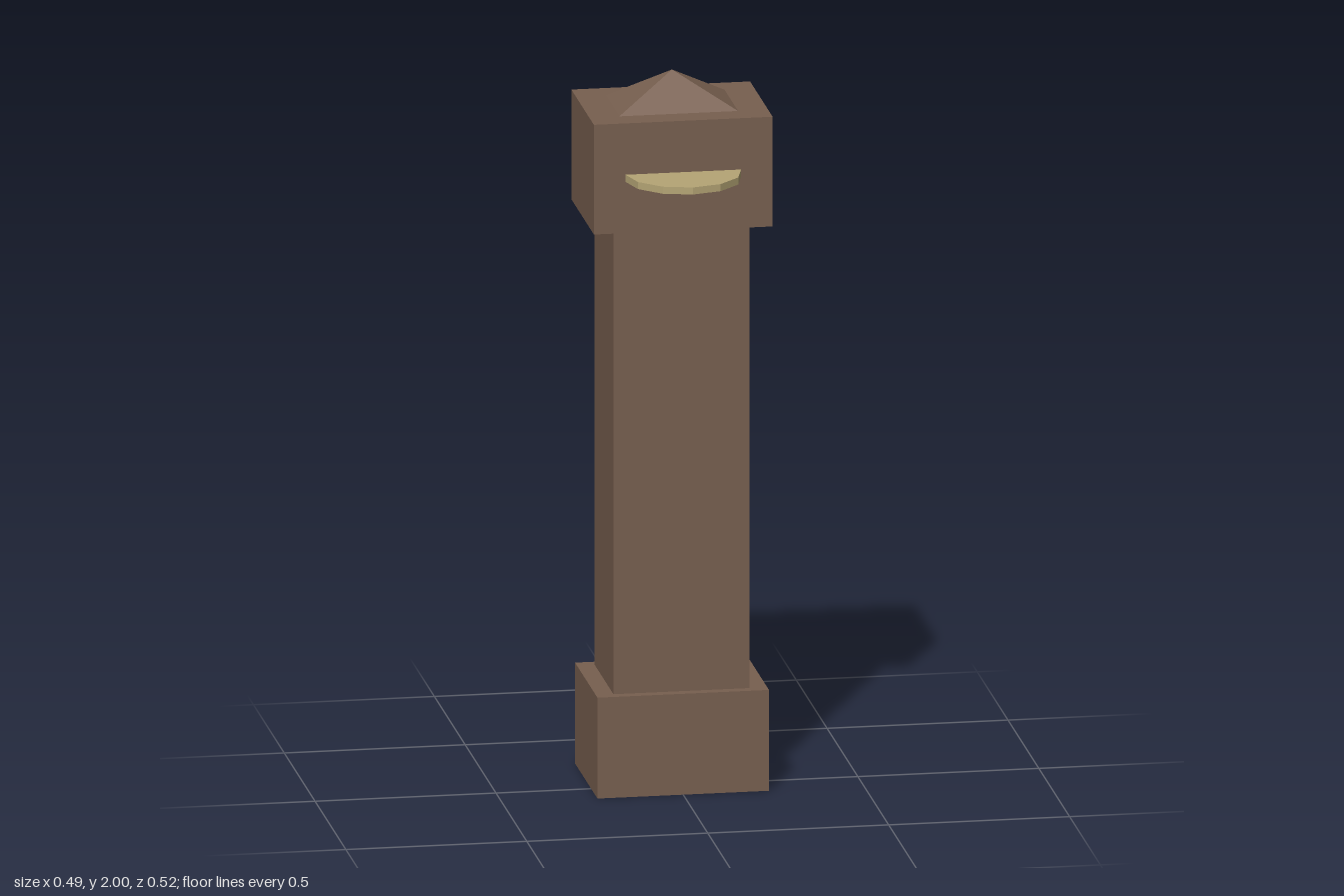
import * as THREE from 'three';

export function createModel() {
  const group = new THREE.Group();
  const wood = new THREE.MeshStandardMaterial({ color: 0x775f4f, flatShading: true });
  const brass = new THREE.MeshStandardMaterial({ color: 0xb5a575, flatShading: true });
  const bodyZ = -0.08; // the body sits behind the origin, the dial projects forward

  const add = (name, geometry, material, y, z) => {
    const mesh = new THREE.Mesh(geometry, material);
    mesh.name = name;
    mesh.position.set(0, y, z);
    group.add(mesh);
  };
  const block = (name, width, depth, bottom, top) =>
    add(name, new THREE.BoxGeometry(width, top - bottom, depth), wood, (bottom + top) / 2, bodyZ);

  // Stacked case: plinth, tall trunk and hood
  block('base', 0.474, 0.364, 0, 0.285);
  block('trunk', 0.376, 0.308, 0.285, 1.595);
  block('hood', 0.494, 0.366, 1.595, 1.905);

  // Four-sided roof: a unit square pyramid stretched to its footprint
  const roof = new THREE.ConeGeometry(Math.SQRT1_2, 1, 4);
  roof.rotateY(Math.PI / 4);
  roof.scale(0.328, 0.095, 0.22);
  add('roof', roof, wood, 1.9525, bodyZ - 0.001);

  // Flat twelve-sided dial, half sunk into the hood
  add('dial', new THREE.CylinderGeometry(0.16, 0.16, 0.02, 12), brass, 1.75, 0.102);

  return group;
}
